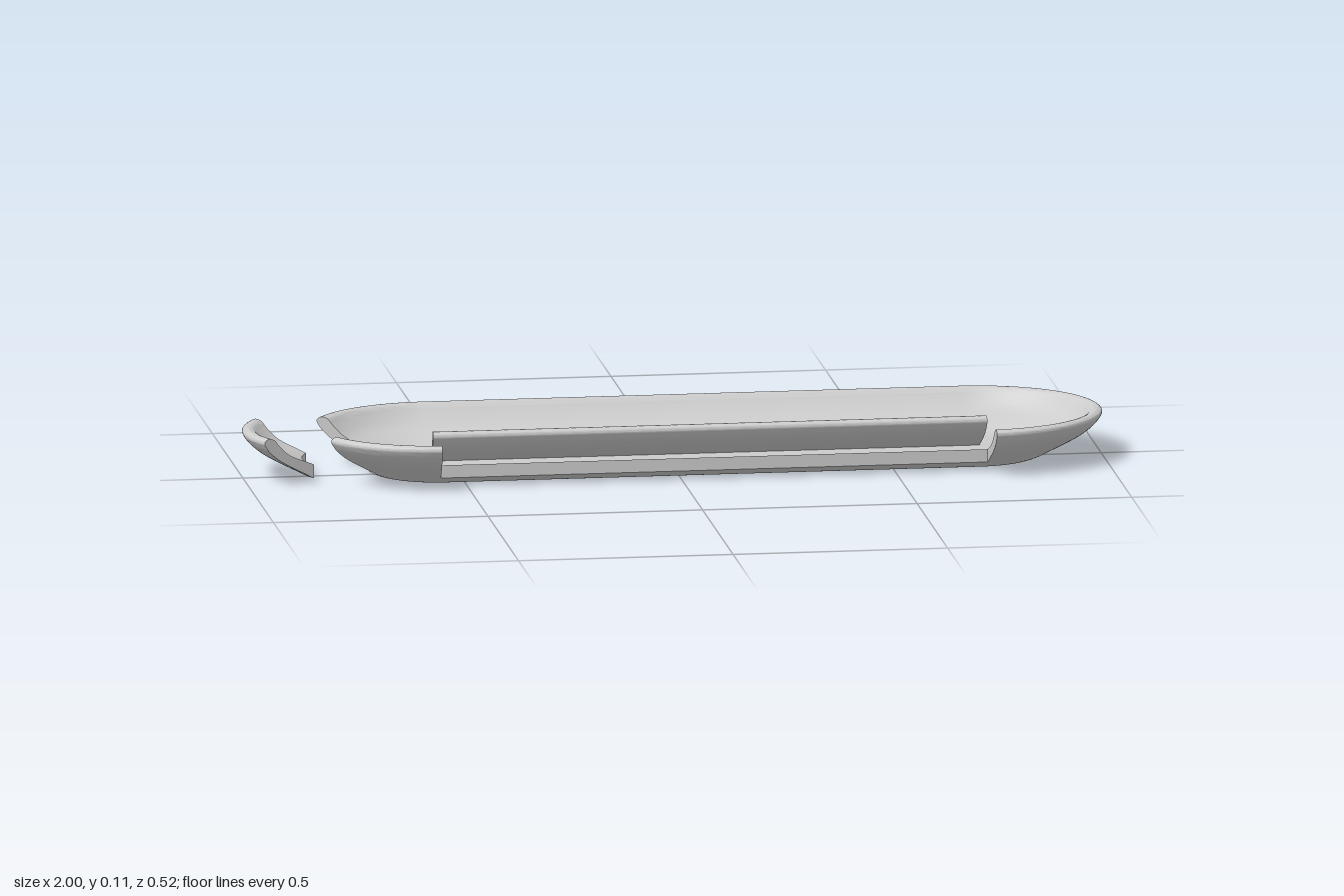
import * as THREE from 'three';
import { toCreasedNormals } from 'three/addons/utils/BufferGeometryUtils.js';

const STRETCH = 0.3 / 0.26;           // ends are slightly longer than round
const RIGHT = 0.7, LEFT = -0.545;     // centres of the two rounded ends
const GAP_R = 0.16, NOTCH_R = 0.14;   // how far in the two breaks reach

// Wall section as (distance from spine, height): inside, over the rim, outside
const profile = new THREE.CatmullRomCurve3([
  [0, 0.03], [0.06, 0.03], [0.12, 0.033], [0.16, 0.05], [0.2, 0.07], [0.225, 0.095], [0.237, 0.11], [0.25, 0.114],
  [0.26, 0.106], [0.252, 0.088], [0.23, 0.065], [0.2, 0.044], [0.16, 0.02], [0.14, 0.008], [0.12, 0.001], [0.06, 0], [0, 0],
].map(([r, y]) => new THREE.Vector3(r, y, 0))).getPoints(72).map((p) => new THREE.Vector2(p.x, p.y));

// Part of the section between two distances from the spine
function clip(lo, hi) {
  const out = [];
  profile.forEach((p, i) => {
    if (p.x >= lo && p.x <= hi) out.push(p);
    const q = profile[i + 1];
    if (!q) return;
    for (const c of [lo, hi]) {
      if ((p.x - c) * (q.x - c) < 0) out.push(p.clone().lerp(q, (c - p.x) / (q.x - p.x)));
    }
  });
  return out;
}

// Stations round one end, angles in degrees (0 = +x, 90 = front)
function arc(cx, from, to, steps) {
  return Array.from({ length: steps + 1 }, (_, i) => ({
    cx, angle: THREE.MathUtils.degToRad(from + (to - from) * i / steps),
  }));
}

const place = (s, p) => [
  s.cx + p.x * STRETCH * Math.cos(s.angle), p.y, p.x * Math.sin(s.angle),
];

// Sweep the clipped section along stations; cap each end beyond a distance
function sweep(out, stations, lo, hi, capStart, capEnd) {
  const section = clip(lo, hi);
  const tri = (...points) => points.forEach((p) => out.push(...p));
  const count = lo > 0 ? section.length : section.length - 1;
  for (let i = 0; i < stations.length - 1; i++) {
    const s = stations[i], t = stations[i + 1];
    for (let j = 0; j < count; j++) {
      const p = section[j], q = section[(j + 1) % section.length];
      tri(place(s, p), place(t, p), place(s, q));
      tri(place(s, q), place(t, p), place(t, q));
    }
  }
  const cap = (station, from, sign) => {
    const edge = clip(from, hi);
    for (const [a, b, c] of THREE.ShapeUtils.triangulateShape(edge, [])) {
      const order = THREE.ShapeUtils.area([edge[a], edge[b], edge[c]]) * sign > 0 ? [a, b, c] : [a, c, b];
      tri(...order.map((k) => place(station, edge[k])));
    }
  };
  if (capStart) cap(stations[0], capStart, -1);
  if (capEnd) cap(stations[stations.length - 1], capEnd, 1);
}

function makeMesh(name, positions, material) {
  const geometry = new THREE.BufferGeometry();
  geometry.setAttribute('position', new THREE.Float32BufferAttribute(positions, 3));
  const mesh = new THREE.Mesh(toCreasedNormals(geometry, 0.7), material);
  mesh.name = name;
  return mesh;
}

export function createModel() {
  const group = new THREE.Group();
  group.name = 'brokenTray';
  const material = new THREE.MeshStandardMaterial({ color: 0xcccccc });

  // Stretches of the outline, running from the front break round to the back
  const gap = [...arc(RIGHT, 86, 90, 2), ...arc(LEFT, 90, 95, 2)];
  const corner = arc(LEFT, 95, 152.5, 16);
  const notch = arc(LEFT, 152.5, 207.5, 16);
  const main = [...arc(LEFT, 207.5, 270, 18), ...arc(RIGHT, 270, 446, 48)];

  // Tray with a missing front wall and a missing piece of one end
  const tray = [];
  sweep(tray, gap, 0, GAP_R);
  sweep(tray, corner, 0, 1, GAP_R, NOTCH_R);
  sweep(tray, notch, 0, NOTCH_R);
  sweep(tray, main, 0, 1, NOTCH_R, GAP_R);
  group.add(makeMesh('tray', tray, material));

  // Broken-off front wall, moved inward over the floor
  const wall = [];
  sweep(wall, gap, GAP_R, 1, GAP_R, GAP_R);
  const wallPiece = makeMesh('frontWallPiece', wall, material);
  wallPiece.position.z = -0.16;
  group.add(wallPiece);

  // Broken-off end piece, moved outward
  const end = [];
  sweep(end, notch, NOTCH_R, 1, NOTCH_R, NOTCH_R);
  const endPiece = makeMesh('endPiece', end, material);
  endPiece.position.x = -0.155;
  group.add(endPiece);

  return group;
}
